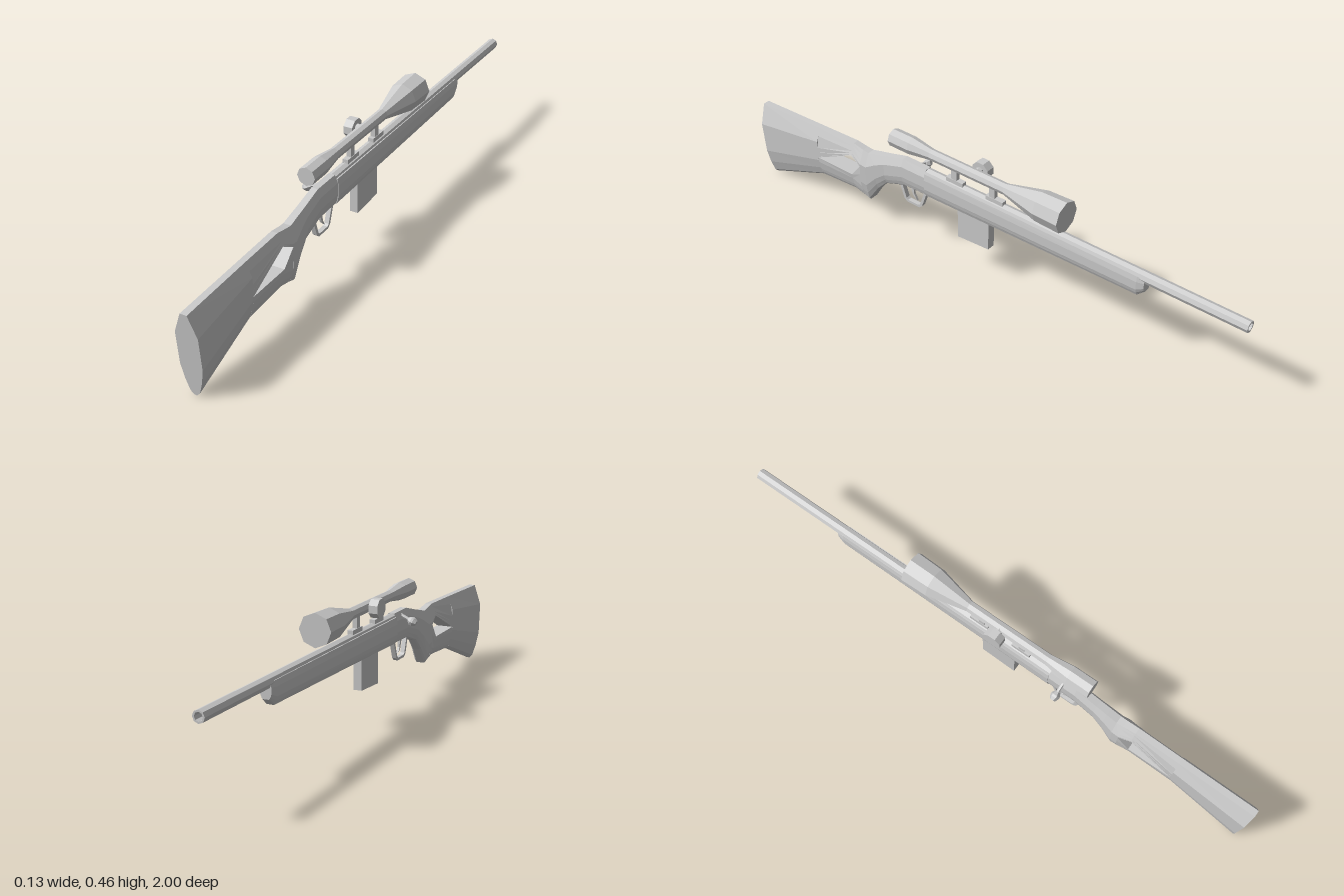
import * as THREE from 'three';

const material = new THREE.MeshStandardMaterial({ color: 0xcccccc, flatShading: true, side: THREE.DoubleSide });

function part(parent, name, geometry, x = 0, y = 0, z = 0) {
  const mesh = new THREE.Mesh(geometry, material);
  mesh.name = name;
  mesh.position.set(x, y, z);
  parent.add(mesh);
  return mesh;
}

const box = (w, h, d) => new THREE.BoxGeometry(w, h, d);

// Eight-sided turned part along z; points are [radius, z], corners on the axes
function turned(points) {
  const g = new THREE.LatheGeometry(points.map(([r, z]) => new THREE.Vector2(r, z)), 8);
  return g.rotateX(Math.PI / 2);
}

// Extrudes a side outline given as [z, y] to a width centred on x = 0
function sidePlate(outline, width, hole) {
  const shape = new THREE.Shape(outline.map(([z, y]) => new THREE.Vector2(-z, y)));
  if (hole) shape.holes.push(new THREE.Path(hole.map(([z, y]) => new THREE.Vector2(-z, y))));
  const g = new THREE.ExtrudeGeometry(shape, { depth: width, bevelEnabled: false });
  return g.translate(0, 0, -width / 2).rotateY(Math.PI / 2);
}

// Stock loft. Section: [z, low, high, halfWidth, topRatio, bottomRatio, cutLow, cutHigh, lean]
const rows = [0, 0.04, 0.18, 0.36, 0.75, 1];
function loft(sections) {
  const pos = [], index = [], n = rows.length * 2;
  for (const [z, lo, hi, w, top, bot, a = lo, b = hi, lean = 0] of sections) {
    const side = rows.map((t) => {
      const y = a + (b - a) * t, f = (y - lo) / (hi - lo);
      let k = 1;
      if (f < 0.36) k = bot + (1 - bot) * Math.sqrt(Math.max(f, 0) / 0.36);
      if (f > 0.75) k = 1 + (top - 1) * (f - 0.75) / 0.25;
      return [w * k, y, z + lean * f];
    });
    side.forEach((p) => pos.push(...p));
    [...side].reverse().forEach(([x, y, pz]) => pos.push(-x, y, pz));
  }
  const last = (sections.length - 1) * n;
  for (let s = 0; s < last; s += n) {
    for (let j = 0; j < n; j++) {
      const k = (j + 1) % n;
      index.push(s + j, s + k, s + n + k, s + j, s + n + k, s + n + j);
    }
  }
  for (let j = 1; j < n - 1; j++) index.push(0, j + 1, j, last, last + j, last + j + 1);
  const g = new THREE.BufferGeometry();
  g.setAttribute('position', new THREE.Float32BufferAttribute(pos, 3));
  g.setIndex(index);
  const flat = g.toNonIndexed();
  flat.computeVertexNormals();
  return flat;
}

export function createModel() {
  const model = new THREE.Group();
  model.name = 'rifle';
  const body = new THREE.Group();
  body.name = 'body';
  body.position.x = 0.008;
  model.add(body);

  // Stock: fore-end, wrist with grip, two limbs around the thumbhole, butt
  part(body, 'foreEnd', loft([
    [-0.65, 0.275, 0.325, 0.019, 0.85, 0.5],
    [-0.625, 0.253, 0.33, 0.024, 0.85, 0.5],
    [0.218, 0.238, 0.333, 0.025, 0.85, 0.5],
  ]));
  const gripEnd = [0.505, 0.112, 0.304, 0.036, 0.35, 0.4];
  const holeFront = [0.55, 0.118, 0.312, 0.032, 0.35, 0.3];
  const holeRear = [0.715, 0.106, 0.307, 0.031, 0.35, 0.25];
  part(body, 'wristAndGrip', loft([
    [0.218, 0.24, 0.345, 0.023, 0.5, 0.5],
    [0.32, 0.237, 0.345, 0.023, 0.5, 0.5],
    [0.40, 0.208, 0.322, 0.025, 0.5, 0.45],
    [0.44, 0.165, 0.312, 0.029, 0.45, 0.45],
    [0.48, 0.104, 0.301, 0.034, 0.4, 0.45],
    gripEnd,
  ]));
  part(body, 'upperLimb', loft([
    [...gripEnd, 0.245, 0.304], [...holeFront, 0.27, 0.312], [...holeRear, 0.19, 0.307],
  ]));
  part(body, 'lowerLimb', loft([
    [...gripEnd, 0.112, 0.245], [...holeFront, 0.118, 0.19], [...holeRear, 0.106, 0.19],
  ]));
  part(body, 'butt', loft([
    holeRear,
    [0.975, 0.002, 0.297, 0.039, 0.3, 0.12, 0.002, 0.297, 0.025],
  ]));

  // Barrel with an open bore
  part(body, 'barrel', turned([
    [0, -0.9], [0.014, -0.9], [0.014, -1], [0.02, -1], [0.02, 0.22], [0, 0.22],
  ]), 0, 0.325, 0);

  // Magazine, trigger guard and trigger
  part(body, 'magazine', sidePlate([[0.08, 0.25], [0.08, 0.132], [-0.05, 0.14], [-0.05, 0.25]], 0.03));
  part(body, 'triggerGuard', sidePlate(
    [[0.345, 0.24], [0.325, 0.178], [0.312, 0.167], [0.258, 0.167], [0.245, 0.178], [0.222, 0.242]], 0.016,
    [[0.332, 0.236], [0.315, 0.182], [0.308, 0.176], [0.262, 0.176], [0.254, 0.182], [0.234, 0.238]]));
  part(body, 'trigger', sidePlate(
    [[0.30, 0.242], [0.285, 0.242], [0.282, 0.21], [0.27, 0.188], [0.288, 0.205]], 0.008));

  // Bolt handle and knob on the right side
  const bolt = new THREE.Group();
  bolt.name = 'boltHandle';
  bolt.position.set(-0.015, 0.33, 0.27);
  bolt.rotation.z = -Math.PI / 2 + 0.42;
  body.add(bolt);
  part(bolt, 'boltRod', new THREE.CylinderGeometry(0.006, 0.006, 0.05, 6), 0, -0.015, 0);
  const knob = new THREE.LatheGeometry(
    [[0, -0.016], [0.01, -0.016], [0.016, -0.004], [0.016, 0.004], [0.008, 0.016], [0, 0.016]]
      .map(([r, y]) => new THREE.Vector2(r, y)), 6);
  part(bolt, 'boltKnob', knob, 0, -0.046, 0);

  // Scope with side turret and two mounts
  part(body, 'scope', turned([
    [0, -0.345], [0.056, -0.345], [0.053, -0.25], [0.02, -0.11],
    [0.02, 0.2], [0.032, 0.285], [0.032, 0.368], [0, 0.368],
  ]), 0, 0.41, 0);
  const turret = part(body, 'scopeTurret', new THREE.CylinderGeometry(0.034, 0.034, 0.032, 8), -0.04, 0.41, 0.016);
  turret.rotation.set(Math.PI / 8, 0, Math.PI / 2);
  const stem = part(body, 'turretStem', new THREE.CylinderGeometry(0.016, 0.016, 0.03, 8), -0.015, 0.41, 0.016);
  stem.rotation.z = Math.PI / 2;
  for (const [z, postZ] of [[0.098, 0.1], [-0.068, -0.058]]) {
    part(body, 'mountBase', box(0.02, 0.018, 0.07), 0, 0.347, z);
    part(body, 'mountPost', box(0.017, 0.05, 0.022), 0, 0.375, postZ);
  }
  return model;
}
